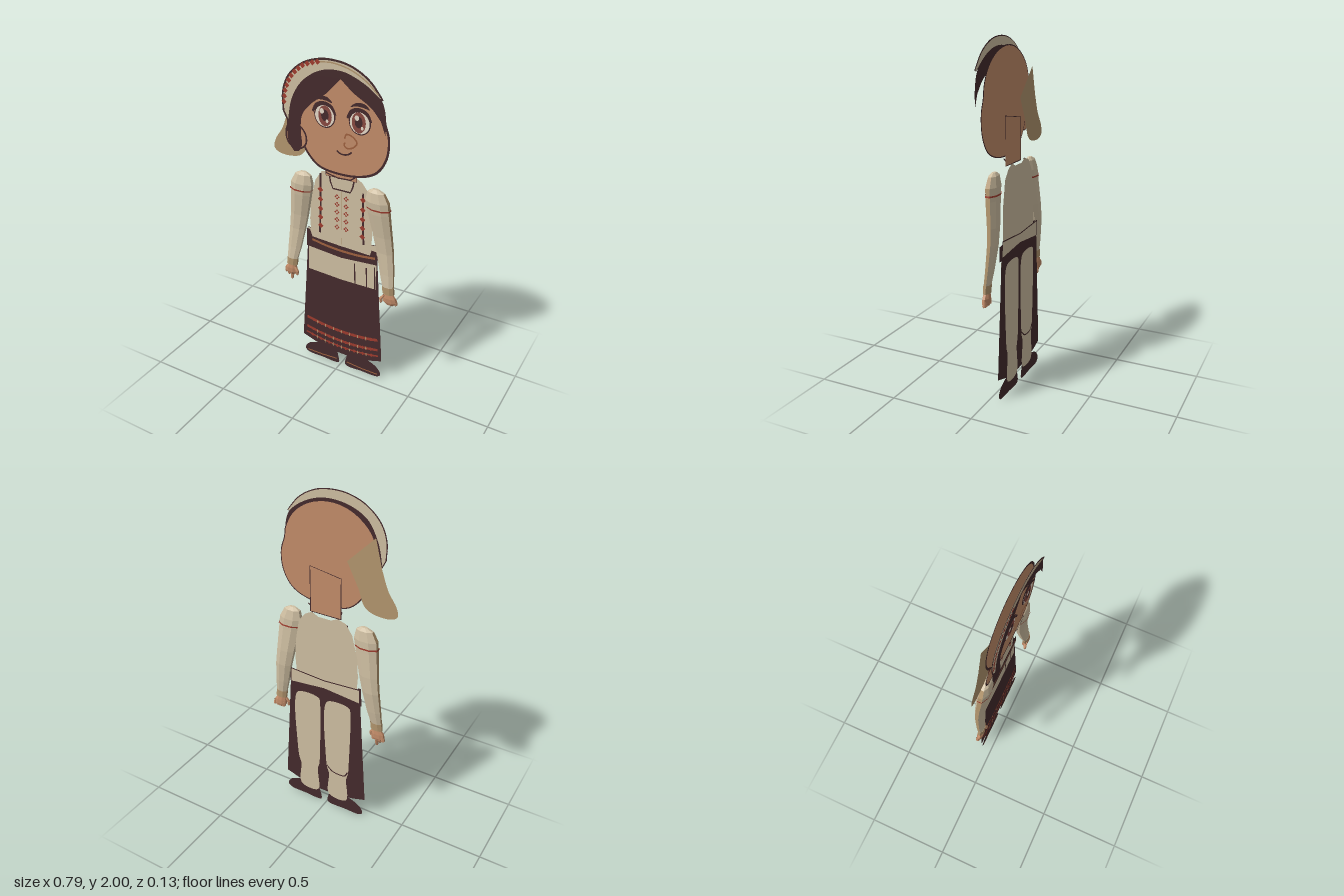
import * as THREE from 'three';

const mat = (name, color) => {
  const m = new THREE.MeshStandardMaterial({ color, side: THREE.DoubleSide });
  m.name = name;
  return m;
};
const M = {
  skin: mat('skin', 0xc48d6a), cream: mat('cream linen', 0xd0c0a3), dark: mat('dark brown', 0x452b2d),
  red: mat('embroidery red', 0xa03c2e), tan: mat('tan cloth', 0xb4976f), iris: mat('iris brown', 0x8a4a42),
  line: mat('soft brown line', 0xa0623f), white: mat('eye white', 0xe8dccb),
};

const vecs = (pts) => pts.map(([x, y]) => new THREE.Vector2(x, y));
const curvePts = (pts, closed) => {
  const c = new THREE.CatmullRomCurve3(pts.map(([x, y]) => new THREE.Vector3(x, y, 0)), closed, 'centripetal');
  return c.getPoints(pts.length * 6).map((p) => [p.x, p.y]);
};
const ovalPts = (cx, cy, rx, ry, n = 28) => Array.from({ length: n }, (_, i) => {
  const t = (i / n) * Math.PI * 2;
  return [cx + rx * Math.cos(t), cy + ry * Math.sin(t)];
});
const diamond = (x, y, r) => [[x - r, y], [x, y - r], [x + r, y], [x, y + r]];

function add(group, name, geo, material, z = 0) {
  const m = new THREE.Mesh(geo, material);
  m.name = name;
  m.position.z = z;
  group.add(m);
  return m;
}
// Flat cut-out from one or several outlines
const plates = (g, name, outlines, material, z) =>
  add(g, name, new THREE.ShapeGeometry(outlines.map((o) => new THREE.Shape(vecs(o)))), material, z);
const plate = (g, name, pts, material, z) => plates(g, name, [pts], material, z);

// Flat ribbon following a line
function stroke(g, name, pts, width, material, z) {
  const pos = [], nor = [], idx = [];
  pts.forEach((p, i) => {
    const a = pts[Math.max(0, i - 1)], b = pts[Math.min(pts.length - 1, i + 1)];
    const dx = b[0] - a[0], dy = b[1] - a[1], k = width / 2 / (Math.hypot(dx, dy) || 1);
    pos.push(p[0] - dy * k, p[1] + dx * k, 0, p[0] + dy * k, p[1] - dx * k, 0);
    nor.push(0, 0, 1, 0, 0, 1);
    if (i) idx.push(2 * i - 1, 2 * i + 1, 2 * i, 2 * i - 1, 2 * i, 2 * i - 2);
  });
  const geo = new THREE.BufferGeometry();
  geo.setAttribute('position', new THREE.Float32BufferAttribute(pos, 3));
  geo.setAttribute('normal', new THREE.Float32BufferAttribute(nor, 3));
  geo.setIndex(idx);
  return add(g, name, geo, material, z);
}
const loop = (pts) => [...pts, pts[0]];

// Faceted limb through elliptical rings [x, y, z, rx, rz], top to bottom
function loft(rings, n = 8, keep = () => true) {
  const pos = [];
  const at = (i, j) => {
    const [x, y, z, rx, rz] = rings[i], t = ((j + 0.5) / n) * Math.PI * 2;
    return [x + rx * Math.cos(t), y, z + rz * Math.sin(t)];
  };
  for (let i = 0; i < rings.length - 1; i++) for (let j = 0; j < n; j++) {
    if (!keep(i, j)) continue;
    const a = at(i, j), b = at(i, j + 1), c = at(i + 1, j), d = at(i + 1, j + 1);
    pos.push(...a, ...b, ...c, ...b, ...d, ...c);
  }
  const geo = new THREE.BufferGeometry();
  geo.setAttribute('position', new THREE.Float32BufferAttribute(pos, 3));
  geo.computeVertexNormals();
  return geo;
}

function buildHead() {
  const g = new THREE.Group();
  g.name = 'head';
  plate(g, 'scarfTail', [[-.26, 1.82], [-.1, 1.66], ...curvePts([[-.17, 1.52], [-.205, 1.43], [-.25, 1.4], [-.36, 1.395],
    [-.398, 1.42], [-.39, 1.47], [-.34, 1.55], [-.3, 1.66]], false)], M.tan, -.008);
  const neck = [[-.075, 1.32], [.115, 1.32], [.115, 1.59], [-.075, 1.56]];
  plate(g, 'neck', neck, M.skin, -.022);
  stroke(g, 'neckOutline', loop(neck), .006, M.dark, -.023);
  stroke(g, 'neckBaseLine', [[-.08, 1.365], [-.07, 1.335], [0, 1.32], [.08, 1.325], [.13, 1.365]], .008, M.dark, -.02);

  const face = curvePts([[0, 1.945], [.13, 1.92], [.23, 1.85], [.28, 1.76], [.29, 1.7], [.314, 1.62], [.305, 1.51], [.25, 1.42],
    [.15, 1.375], [0, 1.365], [-.1, 1.385], [-.17, 1.45], [-.21, 1.53], [-.25, 1.62], [-.258, 1.72], [-.22, 1.83], [-.12, 1.915]], true);
  plate(g, 'face', face, M.skin, .012);
  stroke(g, 'faceOutline', face, .013, M.dark, .013);

  const ear = curvePts([[-.2, 1.59], [-.26, 1.61], [-.295, 1.55], [-.275, 1.48], [-.21, 1.465], [-.17, 1.5], [-.17, 1.55]], true);
  plate(g, 'ear', ear, M.skin, .025);
  stroke(g, 'earOutline', ear, .01, M.dark, .026);
  stroke(g, 'earFold', curvePts([[-.26, 1.56], [-.23, 1.57], [-.21, 1.53], [-.23, 1.5]], false), .007, M.line, .027);

  // Eyes, brows, nose, mouth
  [[-.045, 1], [.16, -1]].forEach(([x, s]) => {
    const y = 1.69, z = .036;
    plate(g, 'eyeRim', ovalPts(x, y, .064, .07), M.dark, z);
    plate(g, 'eyeWhite', ovalPts(x, y - .005, .057, .058), M.white, z + .002);
    plate(g, 'iris', ovalPts(x + .004 * s, y - .003, .04, .056), M.iris, z + .004);
    plate(g, 'pupil', ovalPts(x + .004 * s, y, .022, .031), M.dark, z + .006);
    plates(g, 'eyeHighlights', [ovalPts(x - .013, y + .022, .013, .015, 12), ovalPts(x + .018, y - .028, .008, .01, 12)], M.white, z + .008);
    stroke(g, 'upperLid', curvePts([[x - .068, y + .012], [x - .045, y + .055], [x, y + .07], [x + .045, y + .055], [x + .068, y + .012]], false), .013, M.dark, z + .008);
    const b = x + s * -.005;
    plate(g, 'brow', curvePts([[b - .055, 1.765], [b - .02, 1.792], [b + .03, 1.79], [b + .055, 1.765], [b + .02, 1.772], [b - .02, 1.773]], true), M.dark, z + .009);
  });
  stroke(g, 'nose', curvePts([[.075, 1.585], [.085, 1.61], [.12, 1.605], [.148, 1.575], [.125, 1.545], [.09, 1.535], [.072, 1.55], [.078, 1.565]], false), .009, M.line, .04);
  stroke(g, 'mouth', curvePts([[.028, 1.51], [.05, 1.497], [.075, 1.495], [.1, 1.503], [.118, 1.518]], false), .009, M.dark, .04);

  // Hair parted off centre
  plate(g, 'hair', [...curvePts([[-.23, 1.455], [-.262, 1.5], [-.272, 1.6], [-.262, 1.7], [-.24, 1.78], [-.18, 1.88], [-.07, 1.935],
    [.07, 1.945], [.19, 1.905], [.285, 1.83], [.312, 1.74], [.312, 1.65]], false), ...curvePts([[.285, 1.72], [.23, 1.78], [.13, 1.84], [.055, 1.9]], false),
  ...curvePts([[.055, 1.9], [-.03, 1.81], [-.12, 1.74], [-.175, 1.67], [-.185, 1.58], [-.18, 1.5], [-.2, 1.46]], false)], M.dark, .05);

  // Embroidered headband
  const outer = curvePts([[-.285, 1.68], [-.285, 1.78], [-.25, 1.87], [-.17, 1.945], [-.08, 1.982], [.01, 1.992], [.12, 1.975], [.22, 1.92], [.295, 1.835]], false);
  const inner = curvePts([[.28, 1.835], [.19, 1.895], [.07, 1.937], [-.05, 1.925], [-.16, 1.855], [-.225, 1.755], [-.255, 1.62]], false);
  const band = [...outer, ...inner];
  plate(g, 'headband', band, M.cream, .056);
  stroke(g, 'headbandOutline', loop(band), .011, M.dark, .058);
  stroke(g, 'headbandTrim', curvePts([[-.07, 1.97], [.01, 1.978], [.12, 1.957], [.21, 1.91], [.27, 1.858]], false), .007, M.tan, .06);
  const dots = new THREE.SplineCurve(vecs([[-.277, 1.73], [-.265, 1.8], [-.225, 1.88], [-.15, 1.945], [-.07, 1.972]])).getSpacedPoints(11);
  plates(g, 'headbandStitches', dots.map((p) => diamond(p.x, p.y, .016)), M.red, .062);
  return g;
}

function buildBody() {
  const g = new THREE.Group();
  g.name = 'body';
  // Shirt with collar, straps and cross-stitch
  plate(g, 'shirt', [[-.07, 1.335], [-.12, 1.32], [-.16, 1.26], [-.195, 1.12], [-.2, 1], [-.19, .86], [.195, .86], [.205, 1], [.2, 1.12],
    [.175, 1.26], [.135, 1.31], [.09, 1.335], [.05, 1.315], [-.03, 1.315]], M.cream, -.05);
  stroke(g, 'collar', [[-.072, 1.335], [-.06, 1.27], [-.045, 1.235], [.065, 1.235], [.08, 1.27], [.092, 1.335]], .009, M.dark, -.046);
  [[-.125, 1.31], [.145, 1.25]].forEach(([x, top]) => {
    stroke(g, 'strap', [[x, top], [x, 1.1], [x + .008 * Math.sign(x), .93]], .012, M.dark, -.046);
    plates(g, 'strapStitches', [1.21, 1.15, 1.09, 1.035, .98].map((y) => diamond(x, y, .018)), M.red, -.044);
  });
  const stitches = [];
  for (const x of [-.018, .04]) for (let i = 0; i < 5; i++) for (const [dx, dy] of [[-1, 0], [1, 0], [0, 1], [0, -1]])
    stitches.push(diamond(x + dx * .01, 1.19 - i * .048 + dy * .01, .007));
  plates(g, 'chestStitches', stitches, M.red, -.045);
  stroke(g, 'shirtPlacket', [[.011, 1.23], [.011, .89]], .003, M.tan, -.046);

  // Skirt with woven hem bands
  const hem = curvePts([[-.27, .14], [-.15, .105], [.01, .087], [.16, .1], [.287, .138]], false);
  plate(g, 'skirt', [[-.22, .88], ...hem, [.235, .88]], M.dark, -.058);
  const sag = (x) => .45 * (x - .01) ** 2;
  const row = (y, w) => Array.from({ length: 15 }, (_, i) => { const x = .01 + w * (i / 7 - 1); return [x, y + sag(x)]; });
  [[.262, .247, .02], [.188, .25, .018], [.142, .255, .012]].forEach(([y, w, t]) => {
    stroke(g, 'hemBand', row(y, w), t, M.red, -.055);
    const spots = row(y, w * .82).filter((_, i) => i % 2 === 0 || t > .015);
    plates(g, 'hemStitches', spots.map(([x, v]) => diamond(x, v, .014)), M.red, -.054);
    plates(g, 'hemTicks', row(y, w * .8).filter((_, i) => i % 2 === 1).map(([x, v]) => [[x - .005, v], [x, v - .016], [x + .005, v], [x, v + .016]]), M.tan, -.052);
  });

  // Waist: apron in front, belt above it, linen strip at the back
  plate(g, 'apron', [[-.213, .815], [0, .8], [.235, .815], [.236, .65], [.01, .645], [-.218, .655]], M.cream, -.053);
  [[.095, .785], [.172, .78], [.225, .8]].forEach(([x, top]) => stroke(g, 'apronFold', [[x, top], [x + .005, .65]], .008, M.dark, -.051));
  plate(g, 'belt', [[-.22, .937], [-.2, .932], [-.185, .888], [0, .878], [.195, .872], [.205, .908], [.237, .905], [.24, .82], [.01, .8], [-.225, .818]], M.dark, -.047);
  stroke(g, 'beltStripe', curvePts([[-.185, .87], [-.09, .855], [.02, .848], [.13, .851], [.228, .862]], false), .015, M.line, -.045);
  const strip = [[.235, .845], [.23, .935], [.01, .92], [-.218, .935], [-.222, .845], [.01, .868]];
  plate(g, 'backWaistband', strip, M.cream, -.061);
  stroke(g, 'backWaistbandEdge', [strip[0], strip[1], strip[2], strip[3], strip[4]], .007, M.dark, -.062);

  // Legs and shoes
  [[.12, 1], [-.08, -1]].forEach(([x, s]) => {
    plate(g, 'leg', curvePts([[x - .075, .79], [x + .06, .79], [x + .085, .74], [x + .08, .4], [x + .07, .29], [x + .057, .25], [x + .057, .08],
      [x - .063, .08], [x - .063, .25], [x - .075, .3], [x - .08, .4], [x - .085, .74]], true), M.cream, -.064);
    if (s < 0) stroke(g, 'stockingTop', curvePts([[x - .072, .31], [x - .05, .275], [x + .03, .275], [x + .072, .31]], false), .008, M.dark, -.065);
    const toX = (u) => .012 + s * u;
    plate(g, 'shoe', curvePts([[.025, .008], [.14, .004], [.25, .008], [.27, .03], [.25, .07], [.2, .1], [.12, .115], [.05, .11], [.028, .06]]
      .map(([u, y]) => [toX(u), y]), true), M.dark, -.06);
    stroke(g, 'shoeSole', [[toX(.035), .034], [toX(.14), .026], [toX(.25), .026]], .008, M.line, -.058);
  });
  return g;
}

function buildArm(s) {
  const g = new THREE.Group();
  g.name = s > 0 ? 'leftArm' : 'rightArm';
  const X = (u) => .01 + s * u;
  const rings = [[.225, 1.312, -.016, .02, .01], [.228, 1.295, -.016, .052, .024], [.237, 1.24, -.017, .073, .034], [.247, 1.17, -.021, .069, .033],
    [.268, 1.03, -.033, .06, .029], [.285, .93, -.036, .054, .026], [.305, .8, -.028, .045, .021], [.318, .72, -.02, .036, .018]]
    .map(([x, ...r]) => [X(x), ...r]);
  const outerSide = s > 0 ? 7 : 3;
  const isTan = (i, j) => j === outerSide && i > 0;
  add(g, 'sleeve', loft(rings, 8, (i, j) => !isTan(i, j)), M.cream);
  add(g, 'sleeveSeam', loft(rings, 8, isTan), M.tan);
  add(g, 'shoulderCap', loft([[X(.225), 1.313, -.016, .001, .001], rings[0]]), M.cream);
  add(g, 'sleeveStripe', loft([[X(.244), 1.203, -.0195, .073, .036], [X(.246), 1.194, -.02, .0725, .036]]), M.red);
  add(g, 'cuff', loft([[X(.318), .722, -.02, .038, .02], [X(.323), .675, -.02, .037, .019], [X(.323), .674, -.02, .001, .001]]), M.tan);

  // Hand: the right one points down, the left one is loosely curled
  add(g, 'palm', loft([[X(.323), .685, -.02, .022, .015], [X(.33), .65, -.02, .04, .019], [X(.333), .622, -.021, .043, .018], [X(.333), .605, -.021, .025, .012], [X(.333), .6, -.021, .001, .001]]), M.skin);
  for (let k = 0; k < 4; k++) {
    const u = .305 + k * .02, tip = s > 0 ? .594 + Math.abs(k - 1.5) * .006 : [.6, .562, .588, .602][k];
    add(g, 'finger', loft([[X(u), .64, -.024, .01, .011], [X(u + .003), .61, -.026, .011, .012], [X(u + .004), tip + .008, -.022, .008, .009], [X(u + .004), tip, -.021, .001, .001]], 6), M.skin);
  }
  add(g, 'thumb', loft([[X(.3), .665, -.012, .01, .01], [X(.283), .64, -.008, .011, .01], [X(.283), .615, -.008, .008, .007], [X(.284), .607, -.008, .001, .001]], 6), M.skin);
  return g;
}

export function createModel() {
  const model = new THREE.Group();
  model.name = 'flatFolkFigure';
  model.add(buildHead(), buildBody(), buildArm(1), buildArm(-1));
  return model;
}
